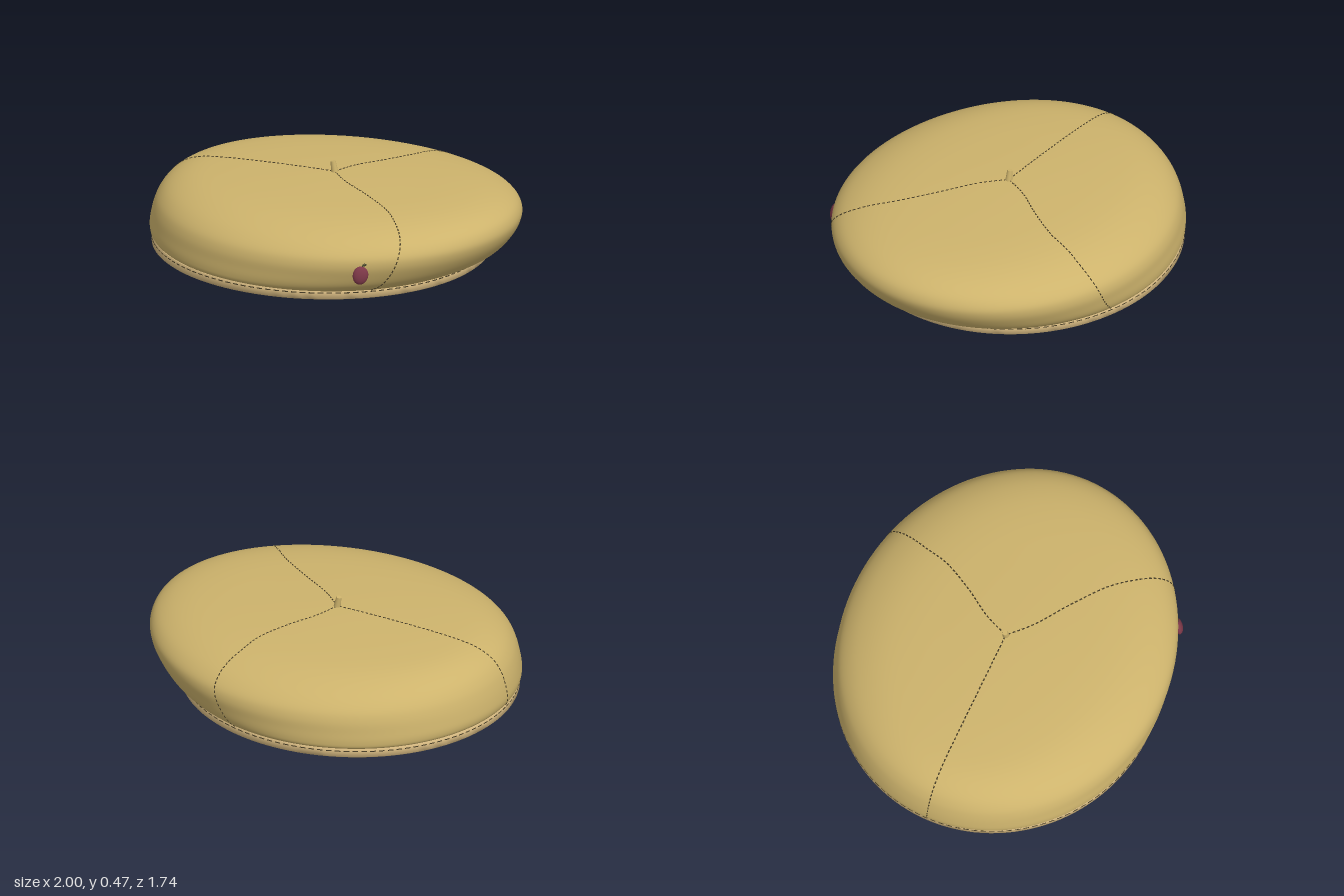
import * as THREE from 'three';
import { mergeGeometries, toCreasedNormals } from 'three/addons/utils/BufferGeometryUtils.js';

const V = (x, y, z) => new THREE.Vector3(x, y, z);
const mat = (color, side = THREE.FrontSide) => new THREE.MeshStandardMaterial({ color, side });

// Crown rings from band to top: height, right edge x, left edge x, half depth
const RINGS = [
  [0.045, -0.965, 0.81, 0.845], [0.06, -0.99, 0.845, 0.86], [0.09, -1.0, 0.9, 0.868],
  [0.14, -0.995, 0.95, 0.87], [0.2, -0.98, 0.988, 0.869], [0.25, -0.96, 1.0, 0.85],
  [0.3, -0.925, 0.982, 0.795], [0.34, -0.87, 0.93, 0.715], [0.37, -0.785, 0.84, 0.615],
  [0.39, -0.61, 0.69, 0.48], [0.402, -0.37, 0.42, 0.3], [0.408, -0.17, 0.16, 0.14],
  [0.41, -0.012, -0.012, 0],
];

// Curve running up the crown at one angle
function meridian(angle) {
  return new THREE.CatmullRomCurve3(RINGS.map(([y, a, b, depth]) =>
    V((a + b) / 2 + (b - a) / 2 * Math.cos(angle), y, depth * Math.sin(angle))));
}

function crownGeometry(around = 128, up = 56) {
  const pos = [], index = [];
  for (let i = 0; i < around; i++) {
    const curve = meridian(i / around * Math.PI * 2);
    for (let j = 0; j <= up; j++) pos.push(...curve.getPoint(j / up).toArray());
  }
  for (let i = 0; i < around; i++) {
    for (let j = 0; j < up; j++) {
      const a = i * (up + 1) + j, b = ((i + 1) % around) * (up + 1) + j;
      index.push(a, a + 1, b);
      if (j < up - 1) index.push(b, a + 1, b + 1);
    }
  }
  const g = new THREE.BufferGeometry();
  g.setAttribute('position', new THREE.Float32BufferAttribute(pos, 3));
  g.setIndex(index);
  g.computeVertexNormals();
  // The apex is one shared point, so it gets one shared normal
  for (let i = 0; i < around; i++) g.attributes.normal.setXYZ(i * (up + 1) + up, 0, 1, 0);
  return g;
}

// Row of short stitches along a path given by at(0..1)
function stitches(at, count, fill, radius) {
  const parts = [];
  for (let i = 0; i < count; i++) {
    const pts = [0, 0.5, 1].map(k => at((i + k * fill) / count));
    parts.push(new THREE.TubeGeometry(new THREE.CatmullRomCurve3(pts), 2, radius, 4, false));
  }
  return mergeGeometries(parts);
}

export function createModel() {
  const group = new THREE.Group();
  const cloth = mat(0xcdb36c, THREE.DoubleSide);
  const thread = mat(0x4a4028, THREE.DoubleSide);
  const add = (name, geometry, material, parent = group) => {
    const mesh = new THREE.Mesh(geometry, material);
    mesh.name = name;
    parent.add(mesh);
    return mesh;
  };

  add('crown', crownGeometry(), cloth);

  // Head band: an oval ring, open in the middle
  const bandX = -0.0875, rx = 0.898, rz = 0.855;
  const profile = [[0.992, 0], [1, 0.006], [1, 0.042], [0.994, 0.05], [0.972, 0.05],
    [0.965, 0.044], [0.965, 0.006], [0.973, 0], [0.992, 0]].map(p => new THREE.Vector2(...p));
  const band = new THREE.LatheGeometry(profile, 128);
  band.scale(rx, 1, rz);
  band.translate(bandX, 0, 0);
  add('band', toCreasedNormals(band, 0.9), mat(0xd6b981, THREE.DoubleSide));

  const bandPoint = u => V(bandX + rx * Math.cos(u * Math.PI * 2), 0.038, rz * Math.sin(u * Math.PI * 2));
  add('bandStitching', stitches(bandPoint, 120, 0.65, 0.003), thread);

  // Three seams meeting at the stalk
  [47, 177, -75].forEach((deg, i) => {
    const curve = meridian(deg * Math.PI / 180);
    add('seam' + (i + 1), stitches(u => curve.getPointAt(u), 48, 0.6, 0.0035), thread);
  });

  // Small leaning stalk on top
  const stalk = add('stalk', new THREE.CylinderGeometry(0.014, 0.019, 0.065, 16), cloth);
  stalk.position.set(-0.015, 0.434, 0);
  stalk.rotation.z = 0.17;

  // Plum badge on the front left, tilted on the cloth
  const badge = new THREE.Group();
  badge.name = 'plumBadge';
  badge.position.set(0.527, 0.165, 0.738);
  badge.rotation.set(-0.14, 0.62, -0.2, 'YXZ');
  group.add(badge);
  const plum = new THREE.SphereGeometry(1, 28, 20);
  plum.scale(0.041, 0.05, 0.022);
  add('plum', plum, mat(0x7d3848), badge);
  const leafGreen = mat(0x45452c);
  const stem = new THREE.CatmullRomCurve3([V(0, 0.045, 0.004), V(0.003, 0.057, 0.005), V(0.012, 0.068, 0.005)]);
  add('plumStem', new THREE.TubeGeometry(stem, 8, 0.004, 8), leafGreen, badge);
  const leaf = new THREE.SphereGeometry(1, 14, 10);
  leaf.scale(0.017, 0.007, 0.005);
  leaf.rotateZ(0.55);
  leaf.translate(0.015, 0.06, 0.005);
  add('plumLeaf', leaf, leafGreen, badge);

  return group;
}
